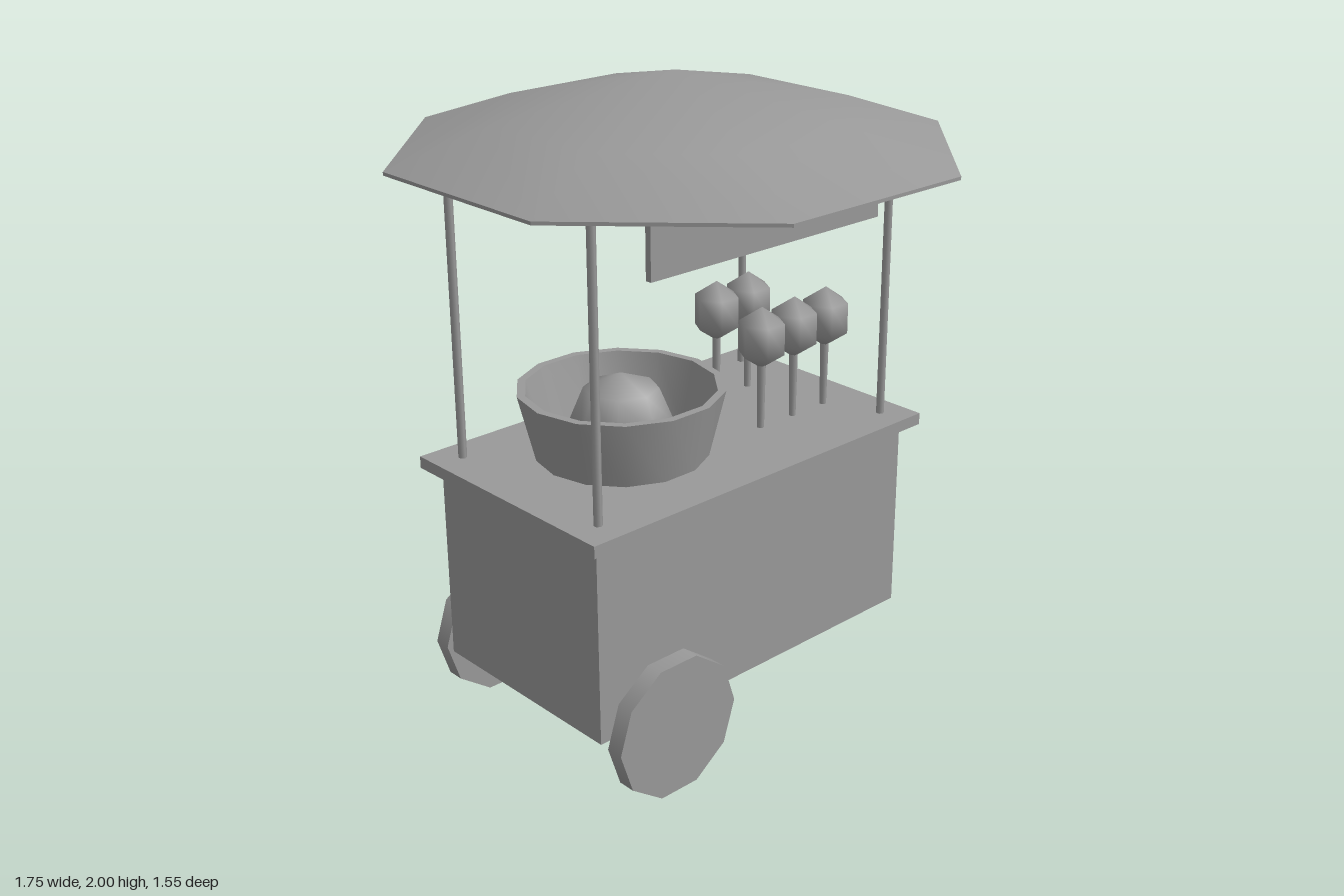
import * as THREE from 'three';
import { toCreasedNormals } from 'three/addons/utils/BufferGeometryUtils.js';

export function createModel() {
  const cart = new THREE.Group();
  cart.name = 'snackCart';
  const grey = new THREE.MeshStandardMaterial({ color: 0x999999 });
  grey.name = 'plain grey';

  const add = (name, geometry, x, y, z) => {
    const mesh = new THREE.Mesh(geometry, grey);
    mesh.name = name;
    mesh.position.set(x, y, z);
    cart.add(mesh);
    return mesh;
  };
  // Box given by its limits on each axis
  const box = (name, x0, x1, y0, y1, z0, z1) =>
    add(name, new THREE.BoxGeometry(x1 - x0, y1 - y0, z1 - z0),
      (x0 + x1) / 2, (y0 + y1) / 2, (z0 + z1) / 2);
  // Upright rod between two heights
  const rod = (name, x, z, y0, y1, rTop, rBottom, sides) =>
    add(name, new THREE.CylinderGeometry(rTop, rBottom, y1 - y0, sides), x, (y0 + y1) / 2, z);
  // Turned shape with sharp rims
  const turned = (profile, sides, start) => toCreasedNormals(
    new THREE.LatheGeometry(profile.map(([r, y]) => new THREE.Vector2(r, y)), sides, start), 0.7);

  // Cabinet, counter and hanging sign
  box('cabinet', -0.725, 0.52, 0.225, 0.85, -0.353, 0.353);
  box('counter', -0.77, 0.56, 0.848, 0.885, -0.4, 0.4);
  box('sign', -0.545, 0.34, 1.565, 1.782, 0.365, 0.385);

  // Octagonal canopy
  add('canopy', turned(
    [[0, 1.774], [0.84, 1.774], [0.84, 1.784], [0.54, 1.885], [0, 2]], 8, Math.PI / 8),
  -0.103, 0, 0);

  // Canopy posts
  for (const x of [-0.68, 0.475])
    for (const z of [-0.31, 0.31]) rod('canopyPost', x, z, 0.88, 1.78, 0.013, 0.013, 6);

  // Wheels, leg and push handle
  for (const side of [-1, 1]) {
    const wheel = add('wheel', new THREE.CylinderGeometry(0.221, 0.221, 0.055, 10),
      -0.505, 0.225, side * 0.412);
    wheel.rotation.set(Math.PI / 2, Math.PI / 2, 0);
  }
  rod('frontLeg', 0.383, 0, 0, 0.23, 0.025, 0.025, 6);
  const handle = add('pushHandle', new THREE.CylinderGeometry(0.018, 0.018, 0.385, 6), 0.69, 0.602, 0);
  handle.rotation.z = Math.atan2(0.135, 0.355) - Math.PI / 2;

  // Bowl with a round lump of sweets in it
  add('bowl', turned(
    [[0, 0.9], [0.26, 0.9], [0.31, 1.107], [0.285, 1.107], [0.238, 0.92], [0, 0.92]], 14, Math.PI / 2),
  -0.325, 0, 0);
  add('bowlFilling', new THREE.SphereGeometry(0.158, 8, 4), -0.325, 0.989, 0);

  // Sweets on sticks, in two staggered rows
  for (let i = 0; i < 5; i++) {
    const x = 0.12 + i * 0.07, z = i % 2 ? -0.135 : 0.135;
    rod('sweetStick', x, z, 0.88, 1.1, 0.014, 0.011, 6);
    add('sweet', new THREE.SphereGeometry(0.0825, 6, 3), x, 1.178, z).scale.y = 1.19;
  }
  return cart;
}
